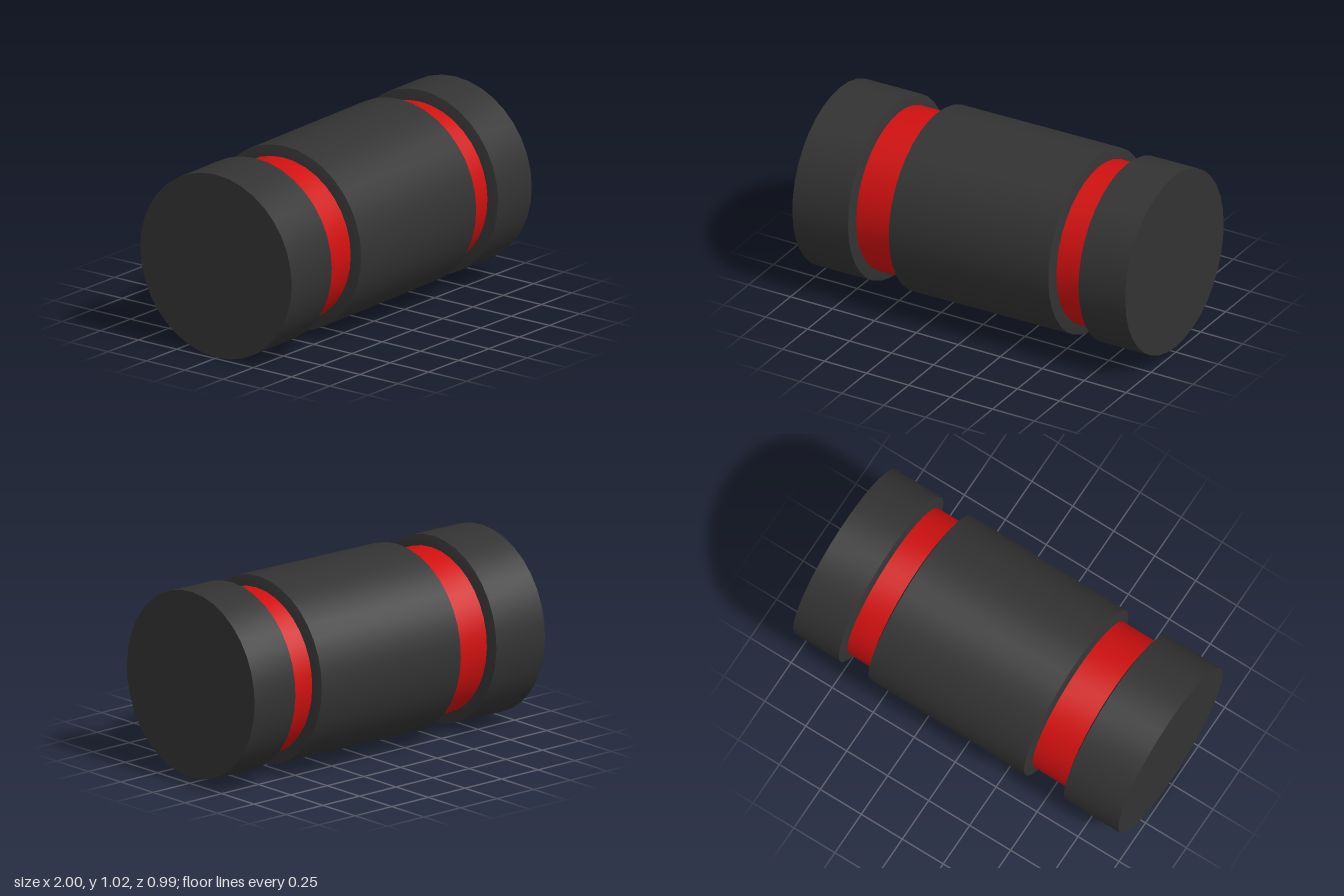
import * as THREE from 'three';
import { toCreasedNormals } from 'three/addons/utils/BufferGeometryUtils.js';

const SIDES = 36;
const R = 0.495;      // shell radius
const GROOVE = 0.438; // band radius
const BEVEL = 0.015;

// Solid of revolution along the y axis from [radius, position] pairs
function turned(name, profile, material) {
  const points = profile.map(([r, y]) => new THREE.Vector2(r, y));
  const geometry = toCreasedNormals(new THREE.LatheGeometry(points, SIDES), 0.6);
  const mesh = new THREE.Mesh(geometry, material);
  mesh.name = name;
  return mesh;
}

export function createModel() {
  const dark = new THREE.MeshStandardMaterial({ color: 0x333333 });
  const red = new THREE.MeshStandardMaterial({ color: 0xd01010 });

  const barrel = new THREE.Group();
  barrel.name = 'barrel';

  // Dark shells, with sloping walls facing the grooves
  barrel.add(
    turned('rightEndCap', [[0, -0.992], [R, -0.992], [R, -0.66], [GROOVE, -0.66 + BEVEL], [0, -0.66 + BEVEL]], dark),
    turned('middleSleeve', [[0, -0.432], [GROOVE, -0.432], [R, -0.432 + BEVEL], [R, 0.533], [GROOVE, 0.533 + BEVEL], [0, 0.533 + BEVEL]], dark),
    turned('leftEndCap', [[0, 0.698], [GROOVE, 0.698], [R, 0.698 + BEVEL], [R, 0.992], [0, 0.992]], dark)
  );

  // Red bands recessed between the shells
  barrel.add(
    turned('wideBand', [[GROOVE, -0.645], [GROOVE, -0.432]], red),
    turned('narrowBand', [[GROOVE, 0.548], [GROOVE, 0.698]], red)
  );

  // Lay the barrel along x with a slight tilt
  barrel.rotation.z = -Math.PI / 2 + 0.0155;
  barrel.position.y = 0.512;

  const model = new THREE.Group();
  model.name = 'bandedCylinder';
  model.add(barrel);
  return model;
}
